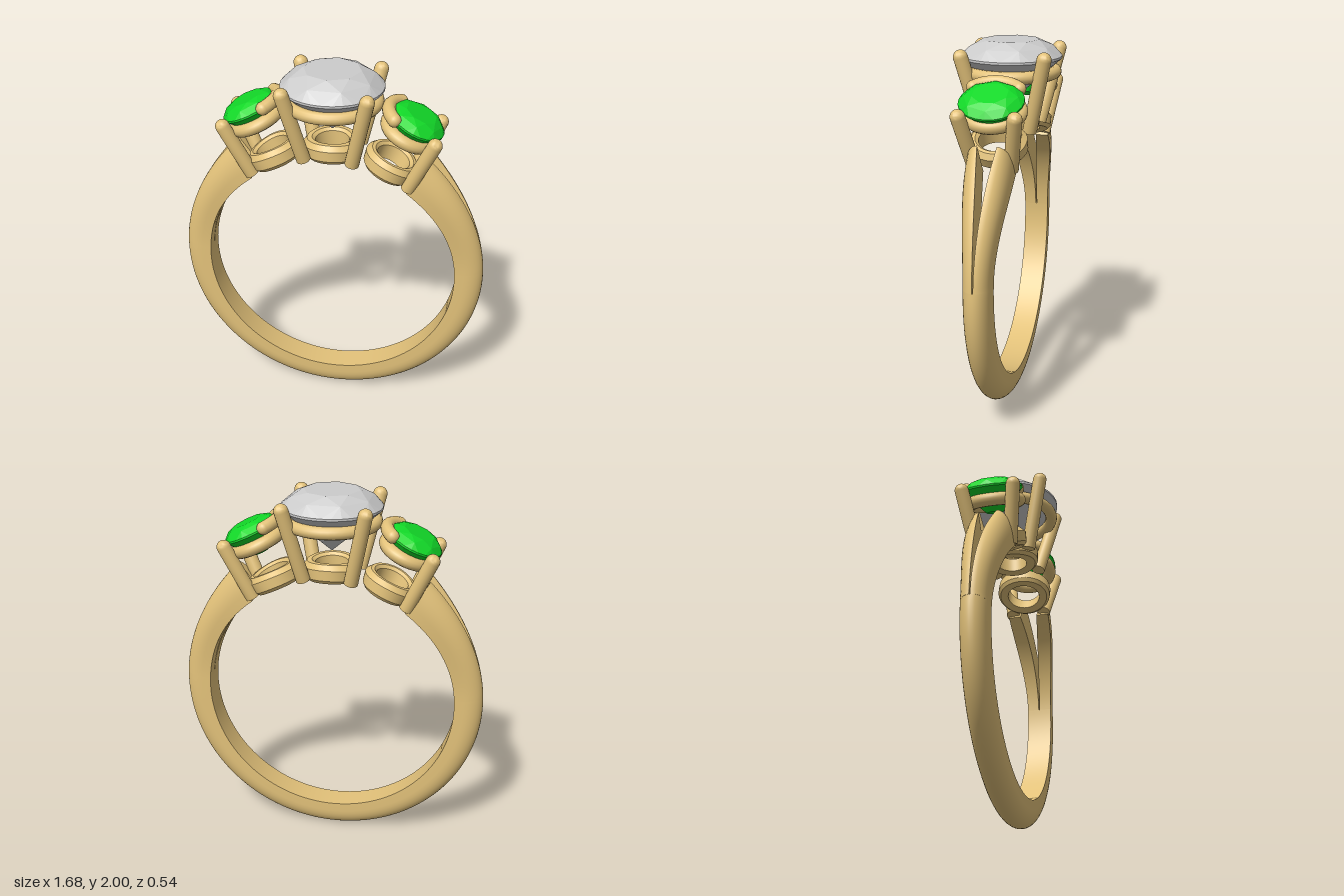
import * as THREE from 'three';
import { toCreasedNormals } from 'three/addons/utils/BufferGeometryUtils.js';
import { ConvexGeometry } from 'three/addons/geometries/ConvexGeometry.js';

const gold = new THREE.MeshStandardMaterial({ color: 0xe3c27a });
const clear = new THREE.MeshStandardMaterial({ color: 0xcccccc, flatShading: true });
const green = new THREE.MeshStandardMaterial({ color: 0x12d828, flatShading: true });

const CY = 0.84;      // height of the finger hole's centre
const R_IN = 0.69;    // finger hole radius
const R_OUT = 0.84;
const HALF_W = 0.07;
const TILT = THREE.MathUtils.degToRad(25); // lean of the side settings
const SPLIT = 0.07;   // angle where the band splits into two arms

function add(parent, name, geometry, material) {
  const mesh = new THREE.Mesh(geometry, material);
  mesh.name = name;
  parent.add(mesh);
  return mesh;
}

// Sweeps a closed [z, radius] section around the finger axis
function sweep(section, from, to, steps, sx = 1, sz = 1) {
  const pos = [], idx = [];
  const flip = sx * sz < 0;
  const tri = (a, b, c) => (flip ? idx.push(a, c, b) : idx.push(a, b, c));
  let n = 0;
  for (let i = 0; i <= steps; i++) {
    const t = i / steps, a = from + (to - from) * t;
    const pts = section(t);
    n = pts.length;
    for (const [z, r] of pts) pos.push(sx * r * Math.cos(a), CY + r * Math.sin(a), sz * z);
  }
  for (let i = 0; i < steps; i++) {
    for (let j = 0; j < n; j++) {
      const k = (j + 1) % n, p = i * n, q = p + n;
      tri(p + j, p + k, q + k);
      tri(p + j, q + k, q + j);
    }
  }
  const e = steps * n;
  for (let j = 1; j < n - 1; j++) {
    tri(0, j + 1, j);
    tri(e, e + j, e + j + 1);
  }
  const g = new THREE.BufferGeometry();
  g.setAttribute('position', new THREE.Float32BufferAttribute(pos, 3));
  g.setIndex(idx);
  return toCreasedNormals(g, 0.6);
}

// Flat inside, domed outside
function bandSection() {
  const pts = [[-HALF_W, R_IN], [HALF_W, R_IN]];
  for (let i = 0; i <= 16; i++) {
    const a = (Math.PI * i) / 16;
    pts.push([HALF_W * Math.cos(a), 0.74 + (R_OUT - 0.74) * Math.sin(a)]);
  }
  return pts;
}

// Half of the band section, drifting outward and growing taller
function armSection(t) {
  const zi = 0.003 + 0.047 * t * t;
  const zo = HALF_W + 0.05 * t * t * (3 - 2 * t);
  const top = R_OUT + 0.05 * t ** 3;
  const pts = [[zi, R_IN], [zo, R_IN]];
  for (let i = 0; i <= 8; i++) {
    const a = (Math.PI * i) / 16;
    pts.push([zi + (zo - zi) * Math.cos(a), 0.74 + (top - 0.74) * Math.sin(a)]);
  }
  return pts;
}

// Round wire with a flat foot and domed tip
function prong(parent, name, foot, tip, r) {
  const a = new THREE.Vector3(...foot), dir = new THREE.Vector3(...tip).sub(a);
  const len = dir.length();
  const profile = [new THREE.Vector2(0, 0), new THREE.Vector2(r, 0)];
  for (let i = 0; i <= 8; i++) {
    const u = (Math.PI * i) / 16;
    profile.push(new THREE.Vector2(i === 8 ? 0 : r * Math.cos(u), len + r * Math.sin(u)));
  }
  const m = add(parent, name, toCreasedNormals(new THREE.LatheGeometry(profile, 20), 0.7), gold);
  m.position.copy(a);
  m.quaternion.setFromUnitVectors(new THREE.Vector3(0, 1, 0), dir.normalize());
}

// Base collar, bent to follow the finger hole (origin at the hole's centre)
function collar(outer, hole, zScale) {
  const profile = [[hole, 0], [outer - 0.015, 0], [outer, 0.02], [outer, 0.075], [outer - 0.025, 0.1],
    [hole + 0.015, 0.1], [hole, 0.085], [hole, 0]].map(([x, y]) => new THREE.Vector2(x, y));
  const g = new THREE.LatheGeometry(profile, 40);
  const p = g.attributes.position;
  for (let i = 0; i < p.count; i++) {
    const a = p.getX(i) / 0.74, r = R_IN + p.getY(i);
    p.setXYZ(i, r * Math.sin(a), r * Math.cos(a), p.getZ(i) * zScale);
  }
  return toCreasedNormals(g, 0.6);
}

// Faceted stone: convex hull of rings [count, radius, y, phase]
function gem(rings, sx = 1, sz = 1) {
  const pts = [];
  for (const [n, r, y, phase] of rings) {
    for (let i = 0; i < n; i++) {
      const a = ((i + phase) / n) * Math.PI * 2;
      pts.push(new THREE.Vector3(sx * r * Math.cos(a), y, sz * r * Math.sin(a)));
    }
  }
  return new ConvexGeometry(pts);
}

function rail(radius, tube, zScale) {
  return new THREE.TorusGeometry(radius, tube, 14, 48).rotateX(Math.PI / 2).scale(1, 1, zScale);
}

export function createModel() {
  const ring = new THREE.Group();
  ring.name = 'ring';

  // Lower band and the four split arms
  add(ring, 'band', sweep(bandSection, Math.PI - SPLIT, 2 * Math.PI + SPLIT, 96), gold);
  for (const sx of [1, -1]) {
    for (const sz of [1, -1]) {
      add(ring, 'splitArm', sweep(armSection, SPLIT, 0.93, 28, sx, sz), gold);
    }
  }

  // Centre setting
  const centre = new THREE.Group();
  centre.name = 'centreSetting';
  ring.add(centre);
  add(centre, 'centreStone', gem([
    [8, 0.15, 2.0, 0], [8, 0.222, 1.966, 0.5], [32, 0.268, 1.917, 0], [32, 0.268, 1.905, 0], [1, 0, 1.67, 0],
  ]), clear);
  add(centre, 'centreRail', rail(0.232, 0.033, 1), gold).position.y = 1.833;
  add(centre, 'centreCollar', collar(0.15, 0.085, 1), gold).position.y = CY;
  for (const sx of [1, -1]) {
    for (const sz of [1, -1]) {
      prong(centre, 'centreProng', [sx * 0.127, 1.54, sz * 0.127], [sx * 0.215, 1.93, sz * 0.217], 0.038);
    }
  }

  // Side settings, leaning outward around the finger hole
  for (const s of [1, -1]) {
    const side = new THREE.Group();
    side.name = s > 0 ? 'leftSetting' : 'rightSetting';
    side.position.y = CY;
    side.rotation.z = -s * TILT;
    ring.add(side);
    const stone = add(side, 'sideStone', gem([
      [8, 0.09, 1.065, 0.5], [8, 0.132, 1.048, 0], [24, 0.16, 1.018, 0], [24, 0.16, 1.008, 0], [8, 0.045, 0.885, 0.5],
    ], 0.96, 1.04), green);
    stone.position.x = s * 0.01;
    add(side, 'sideRail', rail(0.122, 0.036, 1.1), gold).position.y = 0.942;
    add(side, 'sideCollar', collar(0.145, 0.088, 1.07), gold);

    // Curved bar holding the stone's inner edge
    const arc = [];
    for (let i = -4; i <= 4; i++) {
      const a = (i / 4) * 0.8;
      arc.push(new THREE.Vector3(-s * (0.16 * Math.cos(a) - 0.01), 1.016, 0.165 * Math.sin(a)));
    }
    const curve = new THREE.CatmullRomCurve3(arc);
    add(side, 'innerBar', new THREE.TubeGeometry(curve, 24, 0.035, 14), gold);
    for (const end of [arc[0], arc[8]]) {
      add(side, 'innerBarEnd', new THREE.SphereGeometry(0.035, 16, 12), gold).position.copy(end);
    }

    for (const sz of [1, -1]) {
      prong(ring, 'sideProng', [s * 0.415, 1.41, sz * 0.095], [s * 0.548, 1.695, sz * 0.142], 0.038);
    }
  }
  return ring;
}
